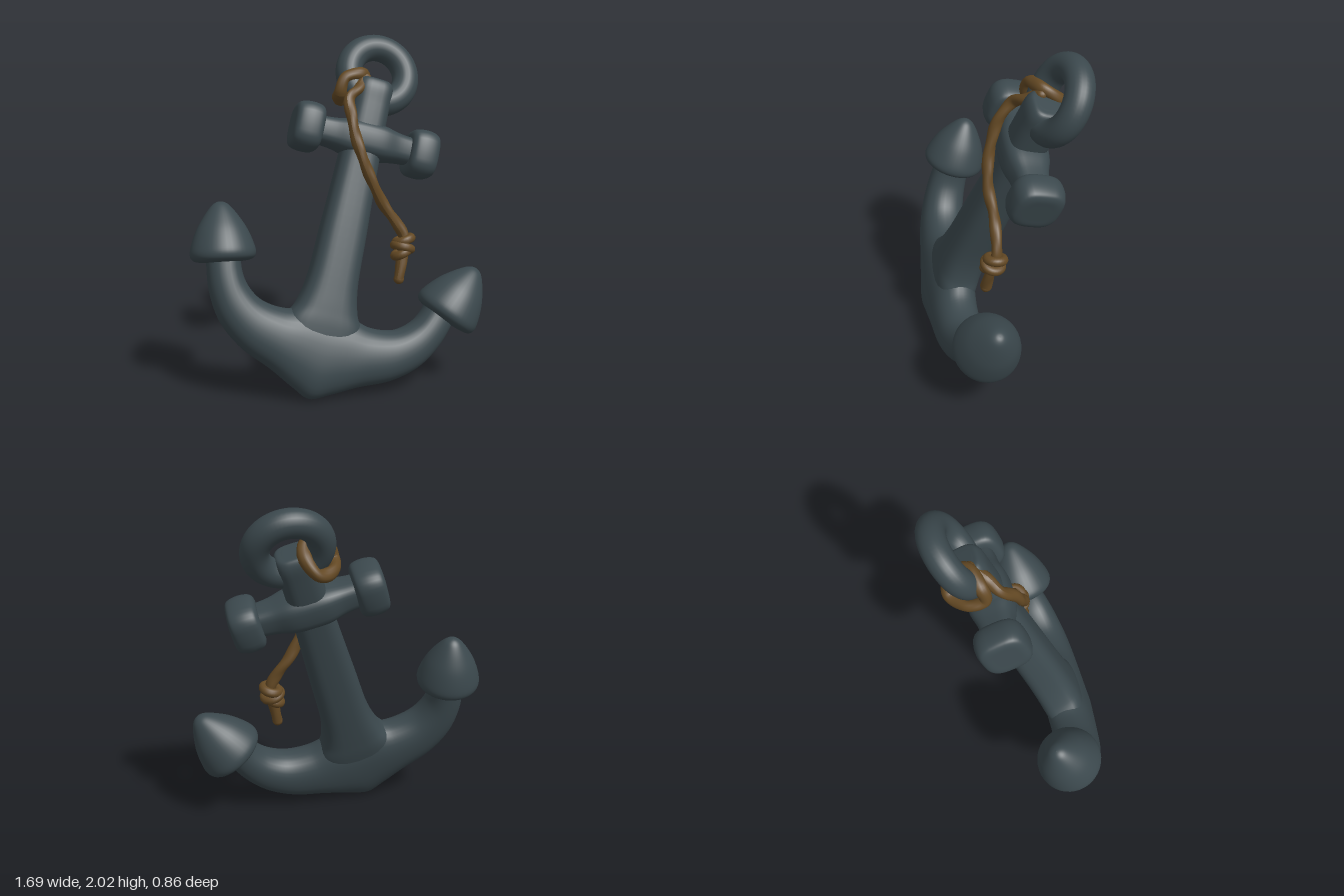
import * as THREE from 'three';

const iron = new THREE.MeshStandardMaterial({ color: 0x3b484d });
iron.name = 'dark iron';
const hemp = new THREE.MeshStandardMaterial({ color: 0x644924 });
hemp.name = 'brown rope';

const V = (p) => new THREE.Vector3(...p);

function add(parent, name, geometry, material) {
  const mesh = new THREE.Mesh(geometry, material);
  mesh.name = name;
  parent.add(mesh);
  return mesh;
}

// Rounded-box sections [ax, ay, bx, by, halfDepth], with a on the left of the travel direction
function loft(sections, power, steps, sides = 32) {
  const sideA = new THREE.CatmullRomCurve3(sections.map(([ax, ay, , , d]) => new THREE.Vector3(ax, ay, d)));
  const sideB = new THREE.CatmullRomCurve3(sections.map(([, , bx, by, d]) => new THREE.Vector3(bx, by, d)));
  const pos = [], index = [];
  const soft = (v) => Math.sign(v) * Math.pow(Math.abs(v), 2 / power);
  const centers = [];
  for (let i = 0; i <= steps; i++) {
    const a = sideA.getPoint(i / steps), b = sideB.getPoint(i / steps);
    const cx = (a.x + b.x) / 2, cy = (a.y + b.y) / 2;
    centers.push([cx, cy, 0]);
    for (let j = 0; j < sides; j++) {
      const t = (j / sides) * Math.PI * 2, c = soft(Math.cos(t));
      pos.push(cx + (a.x - cx) * c, cy + (a.y - cy) * c, a.z * soft(Math.sin(t)));
    }
  }
  const first = (steps + 1) * sides;
  pos.push(...centers[0], ...centers[steps]);
  for (let j = 0; j < sides; j++) {
    const k = (j + 1) % sides;
    for (let i = 0; i < steps; i++) {
      const p = i * sides, q = p + sides;
      index.push(p + j, p + k, q + k, p + j, q + k, q + j);
    }
    index.push(first, k, j, first + 1, steps * sides + j, steps * sides + k);
  }
  const g = new THREE.BufferGeometry();
  g.setAttribute('position', new THREE.Float32BufferAttribute(pos, 3));
  g.setIndex(index);
  g.computeVertexNormals();
  return g;
}

// Tube with a gentle twisted-strand bulge along its length
function ropeGeometry(points, radius, closed = false) {
  const curve = new THREE.CatmullRomCurve3(points.map(V), closed);
  const length = curve.getLength(), rings = Math.ceil(length * 120), sides = 14;
  const g = new THREE.TubeGeometry(curve, rings, radius, sides, closed);
  const p = g.attributes.position;
  const turns = Math.round(length * 5);
  for (let i = 0; i <= rings; i++) {
    const c = curve.getPointAt(closed ? (i / rings) % 1 : i / rings);
    for (let j = 0; j <= sides; j++) {
      const n = i * (sides + 1) + j;
      const bulge = 1 + 0.09 * Math.cos((j / sides) * Math.PI * 4 + (i / rings) * turns * Math.PI * 2);
      const v = new THREE.Vector3().fromBufferAttribute(p, n).sub(c).multiplyScalar(bulge).add(c);
      p.setXYZ(n, v.x, v.y, v.z);
    }
  }
  g.computeVertexNormals();
  return g;
}

export function createModel() {
  const model = new THREE.Group();
  model.name = 'anchorWithRope';

  // The anchor is built upright from its keel point, then leaned
  const anchor = new THREE.Group();
  anchor.name = 'anchor';
  const right = new THREE.Vector3(0.94, -0.288, 0.19).normalize();
  const front = right.clone().cross(new THREE.Vector3(0.335, 0.907, -0.249)).normalize();
  const up = front.clone().cross(right);
  anchor.quaternion.setFromRotationMatrix(new THREE.Matrix4().makeBasis(right, up, front));
  anchor.position.set(-0.278, 0, 0.277);
  model.add(anchor);

  // Shank, flared where it meets the arms
  const shank = [
    [0.2, 0.25, 0.11], [0.42, 0.235, 0.128], [0.52, 0.185, 0.128], [0.66, 0.152, 0.125],
    [1.0, 0.136, 0.118], [1.4, 0.12, 0.11], [1.75, 0.112, 0.108], [1.86, 0.112, 0.104],
    [1.9, 0.095, 0.085], [1.907, 0.05, 0.05],
  ].map(([y, w, d]) => {
    const x = -0.01 * y;
    return [x - w, y, x + w, y, d];
  });
  add(anchor, 'shank', loft(shank, 3, 54), iron);

  // Curved arms, one mirrored sweep with a keel point in the middle
  const halfArm = [
    [0.13, 0.51, 0.11, 0.045, 0.135], [0.26, 0.475, 0.26, 0.12, 0.135],
    [0.41, 0.495, 0.45, 0.2, 0.132], [0.51, 0.57, 0.6, 0.315, 0.124],
    [0.56, 0.66, 0.7, 0.47, 0.114], [0.575, 0.74, 0.765, 0.66, 0.102],
  ];
  const mirrored = halfArm.map(([ax, ay, bx, by, d]) => [-ax, ay, -bx, by, d]).reverse();
  const arms = add(anchor, 'arms', loft([...mirrored, [0, 0.52, 0, 0, 0.135], ...halfArm], 2.25, 84), iron);
  arms.position.x = 0.01;

  // Pointed flukes
  const flukeProfile = new THREE.SplineCurve([
    [0, -0.025], [0.1, -0.02], [0.165, -0.008], [0.187, 0.025], [0.178, 0.08],
    [0.145, 0.165], [0.1, 0.24], [0.055, 0.298], [0.025, 0.32], [0, 0.326],
  ].map(([x, y]) => new THREE.Vector2(x, y)));
  const flukePoints = flukeProfile.getPoints(40).map((p) => new THREE.Vector2(Math.max(0, p.x), p.y));
  const fluke = new THREE.LatheGeometry(flukePoints, 40);
  for (const [name, x, y, pitch, roll, size] of [
    ['leftFluke', 0.705, 0.645, 0.18, -0.36, 1.05],
    ['rightFluke', -0.655, 0.667, 0, 0.29, 1],
  ]) {
    const tip = add(anchor, name, fluke, iron);
    tip.position.set(x, y, 0);
    tip.rotation.set(pitch, 0, roll);
    tip.scale.setScalar(size);
  }

  // Stock: crossbar with a blocky knob at each end
  const stock = new THREE.Group();
  stock.name = 'stock';
  stock.position.set(-0.005, 1.538, 0);
  stock.rotation.z = 0.025;
  anchor.add(stock);
  const along = ([x, h, d]) => [x, h, x, -h, d];
  add(stock, 'crossbar', loft([
    [-0.33, 0.08, 0.085], [-0.2, 0.088, 0.1], [-0.1, 0.106, 0.126], [0, 0.11, 0.132],
    [0.1, 0.106, 0.126], [0.2, 0.088, 0.1], [0.33, 0.08, 0.085],
  ].map(along), 3, 30), iron);
  const knob = loft([
    [0.27, 0.05, 0.05], [0.272, 0.11, 0.11], [0.29, 0.134, 0.134], [0.34, 0.145, 0.145],
    [0.395, 0.141, 0.141], [0.427, 0.128, 0.128], [0.44, 0.103, 0.103], [0.442, 0.05, 0.05],
  ].map(along), 3, 42);
  for (const side of ['left', 'right']) {
    add(stock, side + 'Knob', knob, iron).rotation.y = side === 'left' ? 0 : Math.PI;
  }

  // Ring through the top of the shank
  const ring = add(anchor, 'ring', new THREE.TorusGeometry(0.178, 0.079, 24, 64), iron);
  ring.position.set(-0.005, 1.952, -0.035);
  ring.rotation.x = -0.2;

  // Rope: loop round the ring, hanging length, knot and loose end
  const rope = new THREE.Group();
  rope.name = 'rope';
  model.add(rope);
  add(rope, 'ropeLoop', ropeGeometry([
    [0.1, 1.68, -0.18], [0.135, 1.77, -0.185], [0.25, 1.785, -0.2],
    [0.285, 1.72, -0.29], [0.225, 1.635, -0.33], [0.125, 1.635, -0.27],
  ], 0.036, true), hemp);
  const hanging = [
    [0.27, 1.76, -0.19], [0.2, 1.71, -0.13], [0.125, 1.66, -0.09], [0.11, 1.56, -0.015],
    [0.12, 1.44, 0.03], [0.155, 1.31, 0.065], [0.21, 1.17, 0.08], [0.28, 1.04, 0.075],
    [0.35, 0.94, 0.09], [0.395, 0.85, 0.105], [0.375, 0.75, 0.13], [0.345, 0.61, 0.15],
  ];
  add(rope, 'hangingRope', ropeGeometry(hanging, 0.032), hemp);
  for (const end of [hanging[0], hanging[hanging.length - 1]]) {
    add(rope, 'ropeEnd', new THREE.SphereGeometry(0.031, 14, 10), hemp).position.set(...end);
  }
  const wraps = [
    [0.39, 0.835, 0.11, 0.25, 0.046], [0.38, 0.795, 0.12, -0.35, 0.05], [0.37, 0.762, 0.125, 0.4, 0.043],
  ];
  for (const [x, y, z, tilt, radius] of wraps) {
    const wrap = add(rope, 'knotWrap', new THREE.TorusGeometry(radius, 0.027, 12, 28), hemp);
    wrap.position.set(x, y, z);
    wrap.rotation.set(Math.PI / 2 - 0.2, tilt, 0);
  }
  return model;
}
